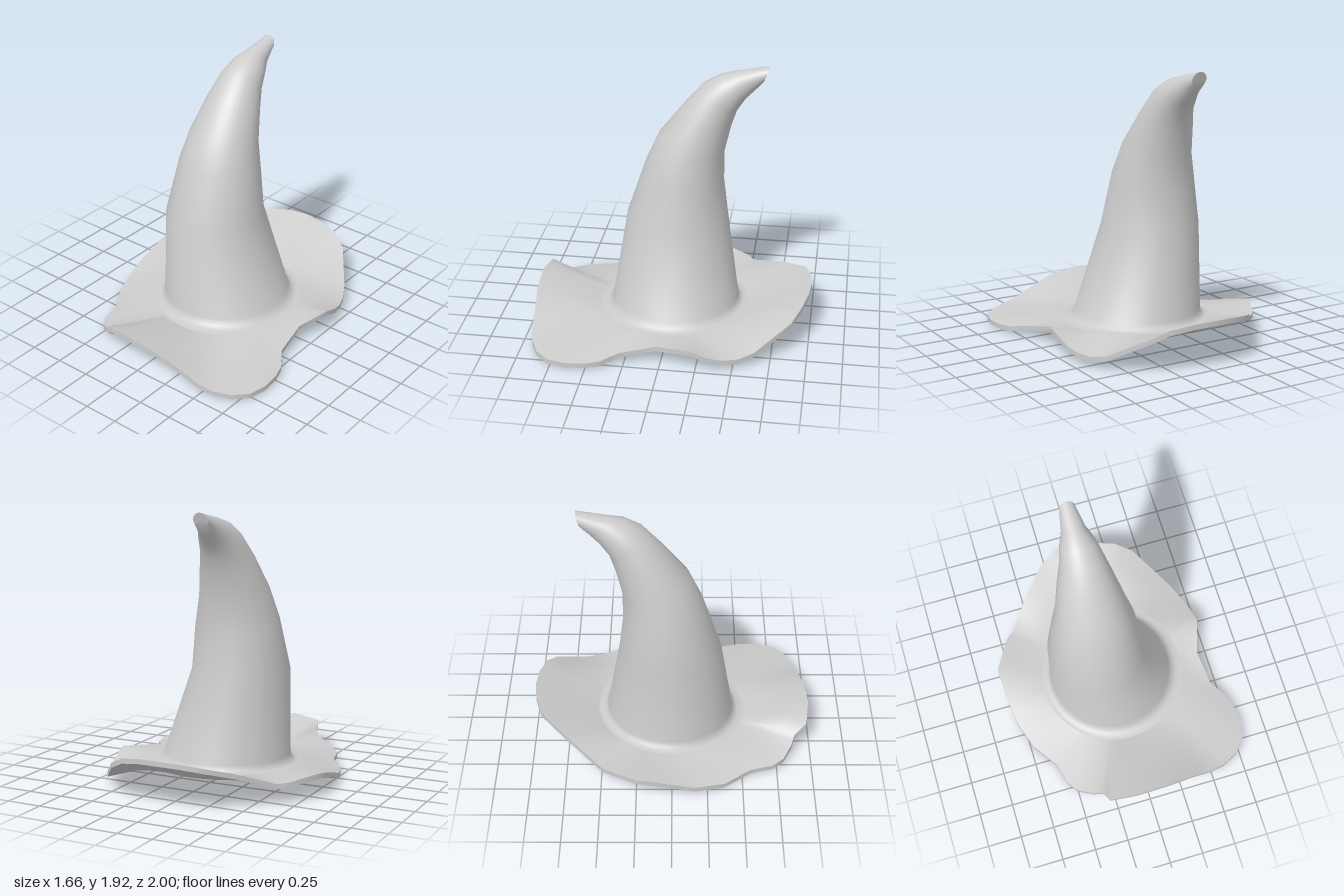
import * as THREE from 'three';
import { toCreasedNormals } from 'three/addons/utils/BufferGeometryUtils.js';

const V = (x, y, z) => new THREE.Vector3(x, y, z);

// Wavy rim of the brim, clockwise from the back: x, y, z of the upper edge
const RIM = [
  [0, .335, -1], [.15, .33, -.985], [.3, .305, -.945], [.42, .245, -.88],
  [.6, .1, -.645], [.66, .075, -.54], [.7, .08, -.44], [.73, .11, -.33],
  [.745, .165, -.2], [.67, .13, .03], [.7, .075, .28], [.79, .05, .41],
  [.82, .045, .51], [.83, .045, .64], [.8, .045, .77], [.72, .05, .86],
  [.6, .06, .92], [.5, .085, .945], [.32, .155, .96], [.15, .215, .985],
  [-.1, .245, .995], [-.3, .22, .97], [-.33, .13, .885], [-.4, .095, .86],
  [-.5, .06, .8], [-.56, .05, .72], [-.6, .045, .56], [-.73, .035, .37],
  [-.8, .065, .16], [-.82, .115, 0], [-.835, .175, -.25], [-.7, .15, -.48],
  [-.64, .145, -.53], [-.45, .25, -.77], [-.29, .31, -.94], [-.15, .33, -.985],
].map(p => V(...p));

// Crown sections: left/right x, then y and z of the front and of the back point
const CROWN = [
  [-.18, -.07, 1.92, -.635, 1.81, -.6],
  [-.205, -.04, 1.875, -.41, 1.755, -.55],
  [-.245, .005, 1.845, -.3, 1.69, -.485],
  [-.27, .035, 1.78, -.19, 1.6, -.425],
  [-.315, .075, 1.63, -.06, 1.48, -.385],
  [-.365, .13, 1.4, .12, 1.28, -.34],
  [-.415, .18, 1.2, .21, 1.05, -.34],
  [-.465, .22, .78, .35, .8, -.37],
  [-.465, .43, .18, .44, .19, -.468],
  [-.478, .458, .135, .455, .155, -.482],
  [-.5, .49, .115, .48, .145, -.505],
  [-.535, .53, .112, .53, .145, -.54],
];

// Skins a stack of equal-length rings, listed from the top down
function loft(rings) {
  const n = rings[0].length, index = [];
  for (let j = 0; j < rings.length - 1; j++) {
    for (let i = 0; i < n; i++) {
      const k = (i + 1) % n;
      const a = j * n + i, b = j * n + k, c = a + n, d = b + n;
      index.push(a, b, d, a, d, c);
    }
  }
  const geo = new THREE.BufferGeometry().setFromPoints(rings.flat());
  geo.setIndex(index);
  return toCreasedNormals(geo, 0.9);
}

export function createModel() {
  const group = new THREE.Group();
  const material = new THREE.MeshStandardMaterial({ color: 0xcccccc, side: THREE.DoubleSide });
  const add = (name, geo) => {
    const mesh = new THREE.Mesh(geo, material);
    mesh.name = name;
    group.add(mesh);
  };

  // Subdivide the rim; every ring of the hat follows the same angles
  const rim = RIM.flatMap((p, i) => [p, p.clone().lerp(RIM[(i + 1) % RIM.length], 0.5)]);
  const angles = rim.map(p => Math.atan2(p.x, p.z));
  const section = ([x0, x1, yf, zf, yb, zb]) => angles.map(a => {
    const s = Math.sin(a), c = Math.cos(a);
    return V((x0 + x1 + (x1 - x0) * s) / 2, (yf + yb + (yf - yb) * c) / 2, (zf + zb + (zf - zb) * c) / 2);
  });

  // Bent crown with a blunt tip, flaring out at its foot
  const crown = CROWN.map(section);
  const tip = rim.map(() => V(-.125, 1.865, -.618));
  add('crown', loft([tip, ...crown]));

  // Brim: upper side, thin edge, underside closed at the middle
  const foot = crown[crown.length - 1];
  const blend = (from, to, t) => from.map((p, i) => p.clone().lerp(to[i], t));
  const lower = ring => ring.map(p => V(p.x, p.y - .035, p.z));
  const top = [0, .33, .67, 1].map(t => blend(foot, rim, t));
  const under = top.map(lower).reverse();
  const middle = rim.map(() => V(0, .09, 0));
  add('brim', loft([...top, ...under, middle]));

  return group;
}
